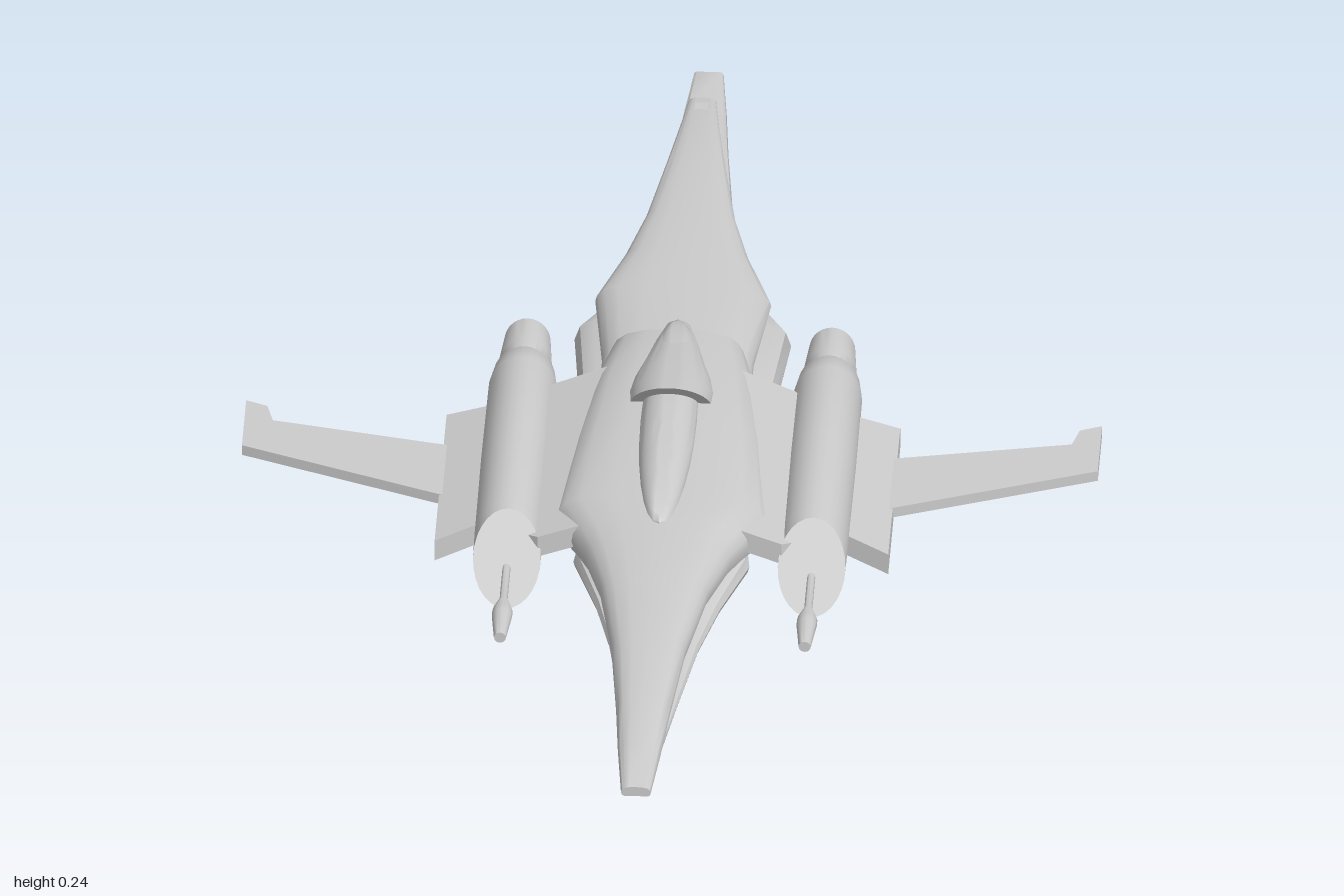
import * as THREE from 'three';
import { toCreasedNormals } from 'three/addons/utils/BufferGeometryUtils.js';

const material = new THREE.MeshStandardMaterial({ color: 0xcccccc, side: THREE.DoubleSide });

function part(name, geometry, crease = 0.6) {
  const mesh = new THREE.Mesh(toCreasedNormals(geometry, crease), material);
  mesh.name = name;
  return mesh;
}

// Skin a mirrored half profile [fx, fy] along stations [z, halfWidth, top, bottom], front to back.
function loft(stations, half, rake = () => 0) {
  const ring = [...half, ...half.filter(p => p[0] > 0).reverse().map(([x, y]) => [-x, y])];
  const n = ring.length, pos = [], idx = [];
  stations.forEach(([z, w, top, bot]) => ring.forEach(([fx, fy]) =>
    pos.push(fx * w, bot + fy * (top - bot), z - rake(z) * (1 - fy))));
  for (let i = 0; i < stations.length - 1; i++) {
    for (let j = 0; j < n; j++) {
      const a = i * n + j, b = i * n + (j + 1) % n;
      idx.push(a, b, b + n, a, b + n, a + n);
    }
  }
  const last = (stations.length - 1) * n;
  for (let j = 1; j < n - 1; j++) {
    idx.push(0, j + 1, j, last, last + j, last + j + 1);
  }
  const geo = new THREE.BufferGeometry();
  geo.setAttribute('position', new THREE.Float32BufferAttribute(pos, 3));
  geo.setIndex(idx);
  return geo;
}

// Flat plate from an [x, z] outline; its top lies at height topAt(|x|).
function slab(outline, thickness, side, topAt) {
  const shape = new THREE.Shape(outline.map(([x, z]) => new THREE.Vector2(x * side, z)));
  const geo = new THREE.ExtrudeGeometry(shape, { depth: thickness, bevelEnabled: false });
  geo.rotateX(Math.PI / 2);
  const p = geo.attributes.position;
  for (let i = 0; i < p.count; i++) p.setY(i, p.getY(i) + topAt(Math.abs(p.getX(i))));
  return geo;
}

// Body of revolution along z from [radius, z] points, back to front.
function turned(points, segments) {
  const geo = new THREE.LatheGeometry(points.map(([r, z]) => new THREE.Vector2(r, z)), segments);
  return geo.rotateX(Math.PI / 2);
}

const hullProfile = [[0, 1], [0.45, 0.97], [0.75, 0.88], [0.9, 0.74], [0.98, 0.55], [1, 0.38], [0.95, 0.12], [0.82, 0]];
const domeProfile = Array.from({ length: 11 }, (_, i) => [Math.sin(i * Math.PI / 20), Math.cos(i * Math.PI / 20)]);

function createHull() {
  const hull = new THREE.Group();
  hull.add(part('hullFront', loft([
    [1, 0.022, 0.146, 0.13], [0.9, 0.032, 0.16, 0.128], [0.8, 0.04, 0.169, 0.128],
    [0.65, 0.055, 0.178, 0.131], [0.5, 0.08, 0.183, 0.126], [0.4, 0.108, 0.185, 0.113],
    [0.35, 0.128, 0.185, 0.103], [0.29, 0.16, 0.186, 0.095], [0.1, 0.142, 0.187, 0.093],
    [-0.05, 0.122, 0.187, 0.093], [-0.15, 0.1, 0.18, 0.093],
  ], hullProfile)));
  hull.add(part('hullTail', loft([
    [-0.02, 0.112, 0.16, 0.093], [-0.15, 0.112, 0.158, 0.093], [-0.3, 0.13, 0.157, 0.103],
    [-0.4, 0.092, 0.157, 0.118], [-0.5, 0.066, 0.155, 0.126], [-0.65, 0.042, 0.15, 0.13],
    [-0.75, 0.029, 0.141, 0.126], [-0.83, 0.02, 0.13, 0.12],
  ], hullProfile)));
  // Slanted brace between the two prongs
  const brace = new THREE.Shape([[0.64, 0.135], [0.73, 0.135], [0.81, 0.055], [0.74, 0.055]]
    .map(([z, y]) => new THREE.Vector2(z, y)));
  const braceGeo = new THREE.ExtrudeGeometry(brace, { depth: 0.02, bevelEnabled: false });
  braceGeo.translate(0, 0, -0.01).rotateY(-Math.PI / 2).scale(-1, 1, 1);
  // Restore the turn direction along z
  braceGeo.scale(-1, 1, 1);
  hull.add(part('brace', braceGeo));
  return hull;
}

function createSide(side) {
  const group = new THREE.Group();
  group.name = side > 0 ? 'leftSide' : 'rightSide';

  // Sloping mount that carries the pod and the wing
  group.add(part('wingMount', slab([
    [0.08, -0.07], [0.18, -0.05], [0.2, -0.03], [0.335, -0.03],
    [0.335, 0.3], [0.27, 0.28], [0.18, 0.35], [0.08, 0.34],
  ], 0.035, side, x => 0.167 - (x - 0.1) * 0.3)));

  // Wing with a small swept tip
  group.add(part('wing', slab([
    [0.27, 0.06], [0.335, 0.05], [0.59, 0], [0.6, -0.037], [0.632, -0.05],
    [0.632, 0.068], [0.335, 0.18], [0.27, 0.2],
  ], 0.017, side, () => 0.098)));

  // Engine pod with a raked front face
  const pod = turned([
    [0, -0.19], [0.028, -0.19], [0.034, -0.21], [0.039, -0.15], [0.038, -0.13],
    [0.046, -0.115], [0.051, -0.08], [0.052, 0.1], [0.051, 0.3], [0.05, 0.36], [0, 0.36],
  ], 28);
  pod.scale(1, 1.18, 1);
  const p = pod.attributes.position;
  for (let i = 0; i < p.count; i++) {
    if (p.getZ(i) > 0.35) p.setZ(i, p.getZ(i) - p.getY(i) * 0.75);
  }
  pod.translate(0.225 * side, 0.11, 0);
  group.add(part('enginePod', pod));

  // Gun barrel
  const gun = turned([
    [0, 0.34], [0.006, 0.34], [0.006, 0.45], [0.015, 0.48], [0.015, 0.495], [0.009, 0.55], [0, 0.55],
  ], 12);
  gun.translate(0.225 * side, 0.098, 0);
  group.add(part('gun', gun));
  return group;
}

export function createModel() {
  const model = new THREE.Group();
  model.name = 'spacecraft';

  // The lower hull is the upper one turned half round about the x axis
  const upper = createHull();
  upper.name = 'upperHull';
  const lower = createHull();
  lower.name = 'lowerHull';
  lower.rotation.x = Math.PI;
  lower.position.y = 0.19;
  model.add(upper, lower);

  // Canopy glass
  const glass = new THREE.SphereGeometry(1, 28, 18);
  glass.scale(0.042, 0.037, 0.27).translate(0, 0.18, 0.1);
  model.add(part('canopy', glass, 1));

  // Hood over the rear of the canopy, its front edge leaning forward
  model.add(part('canopyHood', loft([
    [0.09, 0.061, 0.238, 0.17], [0.05, 0.063, 0.231, 0.17], [0, 0.058, 0.222, 0.17],
    [-0.06, 0.046, 0.211, 0.17], [-0.12, 0.032, 0.198, 0.17], [-0.17, 0.018, 0.182, 0.17],
  ], domeProfile, z => Math.max(0, z + 0.06) * 0.35)));

  model.add(createSide(1), createSide(-1));
  return model;
}
